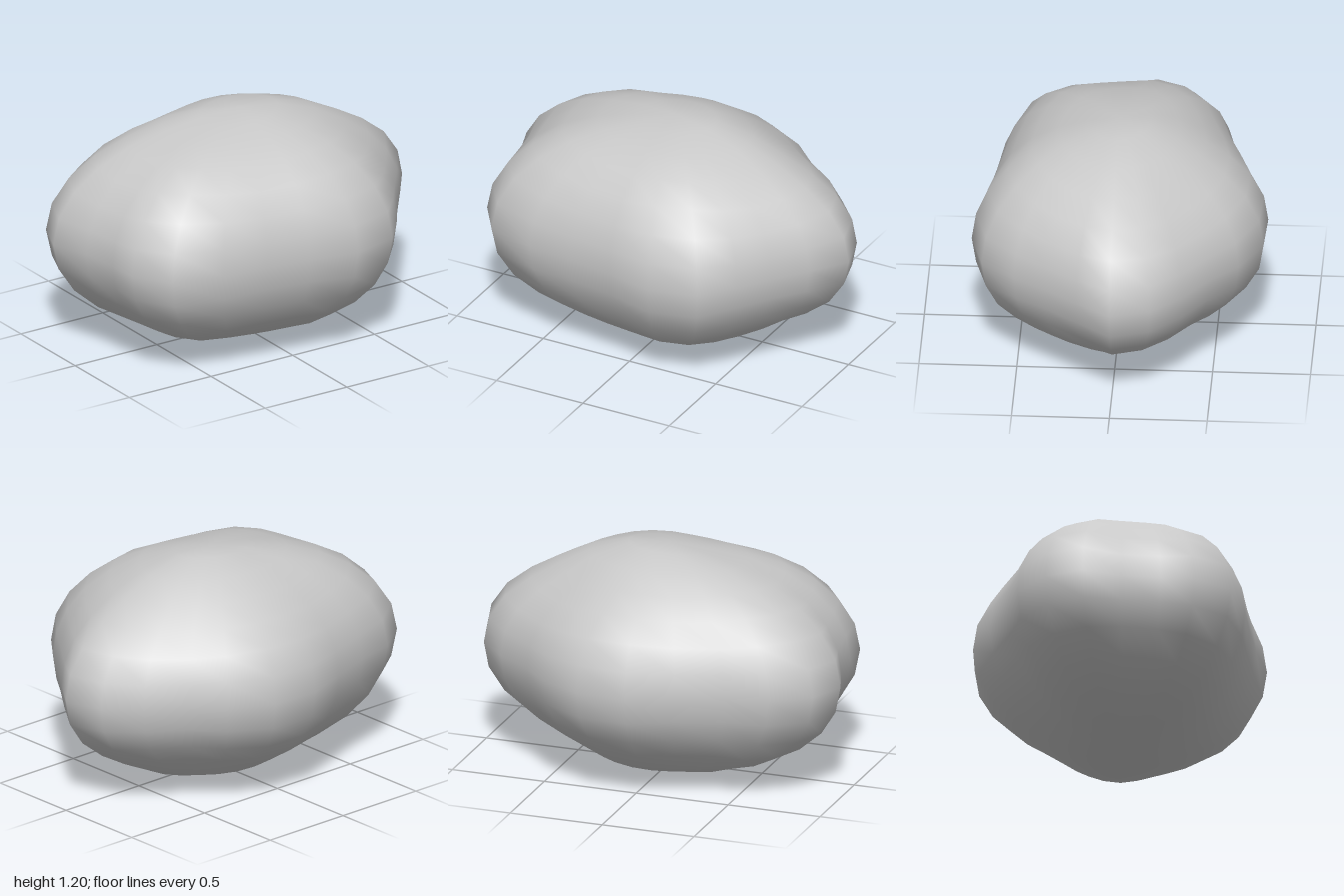
import * as THREE from 'three';
import { mergeVertices } from 'three/addons/utils/BufferGeometryUtils.js';

// Widest horizontal outline of the boulder as [x, z], in 24 even steps from +x towards +z
const OUTLINE = [
  [1, 0], [0.87, 0.18], [0.74, 0.35], [0.63, 0.51], [0.49, 0.68], [0.24, 0.745],
  [-0.02, 0.69], [-0.26, 0.655], [-0.51, 0.63], [-0.77, 0.555], [-0.895, 0.37], [-0.905, 0.2],
  [-0.93, 0], [-1, -0.2], [-0.92, -0.39], [-0.73, -0.53], [-0.51, -0.58], [-0.27, -0.67],
  [-0.03, -0.755], [0.235, -0.745], [0.46, -0.63], [0.6, -0.49], [0.79, -0.36], [0.94, -0.2],
];
const STEPS = OUTLINE.length;
const HALF_HEIGHT = 0.598;

// Ellipsoid with lumps that are strongest at the waist and fade out towards the poles
function boulderGeometry() {
  const sphere = new THREE.SphereGeometry(1, STEPS, 14);
  const pos = sphere.attributes.position;
  for (let i = 0; i < pos.count; i++) {
    const x = pos.getX(i), y = pos.getY(i), z = pos.getZ(i);
    const ring = Math.hypot(x, z);
    const step = Math.round((Math.atan2(z, x) / (2 * Math.PI)) * STEPS);
    const [ox, oz] = OUTLINE[(step + STEPS) % STEPS];
    const bulge = Math.hypot(ox / 0.98, oz / 0.72);
    // Crown rises slightly to the back left, with a flatter shoulder below it
    const backLeft = x - z;
    const crown = 0.12 * backLeft * y ** 12;
    const shoulder = 0.4 * Math.max(0, backLeft) * ring ** 2 * y ** 4;
    const swell = 1 + (bulge - 1) * ring ** 3 + crown - shoulder;
    // Plan shape rounds off to a plain ellipse higher up
    const spread = (ring * swell) / bulge;
    pos.setXYZ(i, ox * spread, 0.6 + y * HALF_HEIGHT * swell, oz * spread);
  }
  // Weld the seam and poles so the shading runs smoothly all round
  sphere.deleteAttribute('uv');
  sphere.deleteAttribute('normal');
  const geometry = mergeVertices(sphere, 1e-4);
  geometry.computeVertexNormals();
  return geometry;
}

export function createModel() {
  const stoneGrey = new THREE.MeshStandardMaterial({ color: 0xc8c8c8 });
  stoneGrey.name = 'stone grey';

  const boulder = new THREE.Mesh(boulderGeometry(), stoneGrey);
  boulder.name = 'boulder';

  const group = new THREE.Group();
  group.name = 'rock';
  group.add(boulder);
  return group;
}
